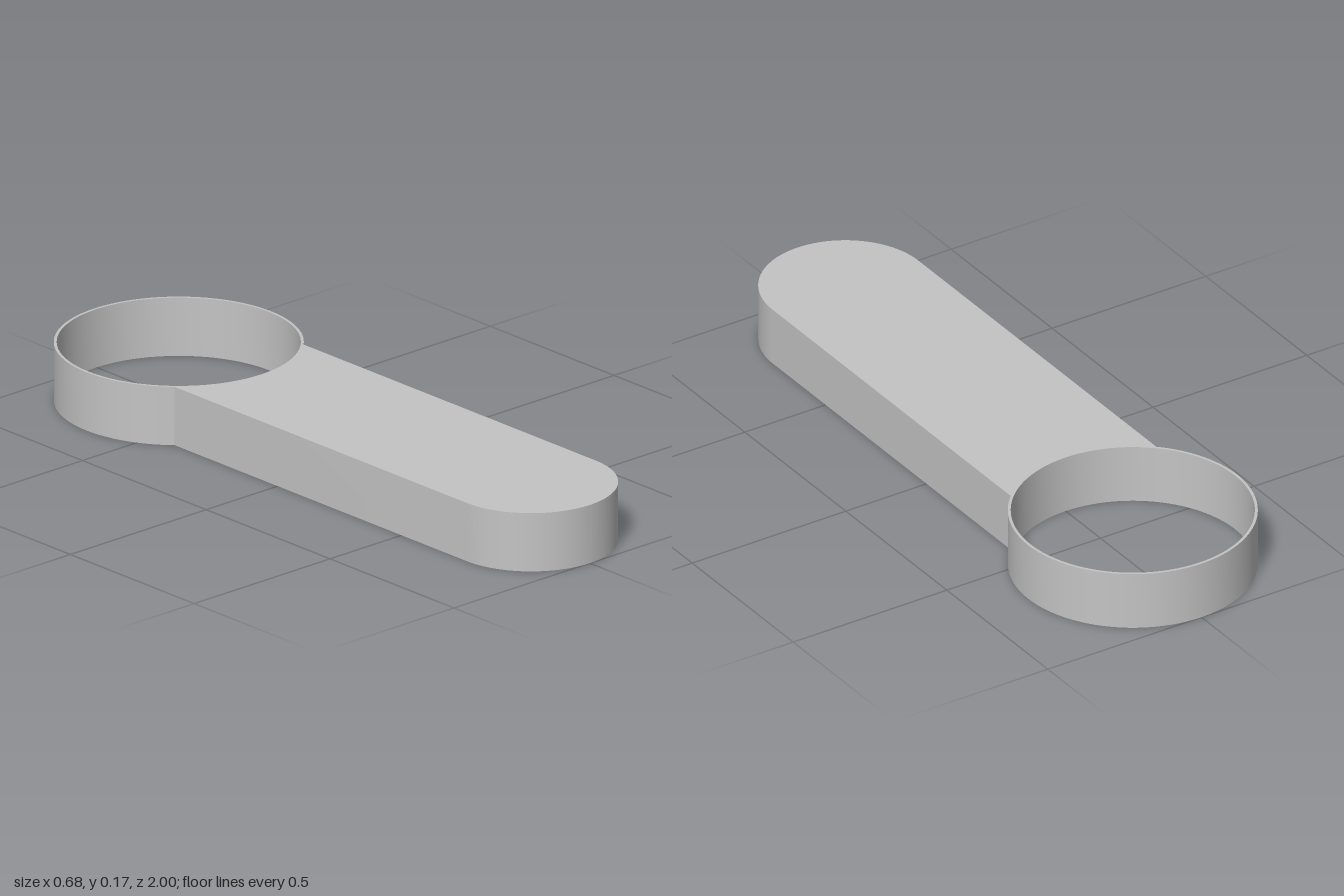
import * as THREE from 'three';
import { toCreasedNormals } from 'three/addons/utils/BufferGeometryUtils.js';

const HEIGHT = 0.17;
const HALF_WIDTH = 0.237;             // arm half width and tip radius
const TIP_Z = 1 - HALF_WIDTH;         // centre of the rounded tip
const RING_OUTER = 0.34;
const RING_INNER = 0.332;
const RING_Z = -1 + RING_OUTER;       // centre of the ring

export function createModel() {
  const group = new THREE.Group();
  group.name = 'ringHandle';
  const grey = new THREE.MeshStandardMaterial({ color: 0xc4c4c4 });
  grey.name = 'grey';

  // Outline seen from above (shape y = -z): arm side, ring, arm side, rounded tip
  const join = Math.acos(HALF_WIDTH / RING_OUTER);
  const outline = new THREE.Shape();
  outline.moveTo(HALF_WIDTH, -TIP_Z);
  outline.absarc(0, -RING_Z, RING_OUTER, -join, Math.PI + join, false);
  outline.lineTo(-HALF_WIDTH, -TIP_Z);
  outline.absarc(0, -TIP_Z, HALF_WIDTH, Math.PI, Math.PI * 2, false);

  // Opening of the thin ring, which also cuts the hollow end of the arm
  const opening = new THREE.Path();
  opening.absarc(0, -RING_Z, RING_INNER, 0, Math.PI * 2, true);
  outline.holes.push(opening);

  // Arm and ring as one solid, lying flat
  const geometry = new THREE.ExtrudeGeometry(outline, {
    depth: HEIGHT, bevelEnabled: false, curveSegments: 64,
  });
  geometry.rotateX(-Math.PI / 2);
  const body = new THREE.Mesh(toCreasedNormals(geometry, Math.PI / 6), grey);
  body.name = 'armWithRing';
  group.add(body);
  return group;
}
